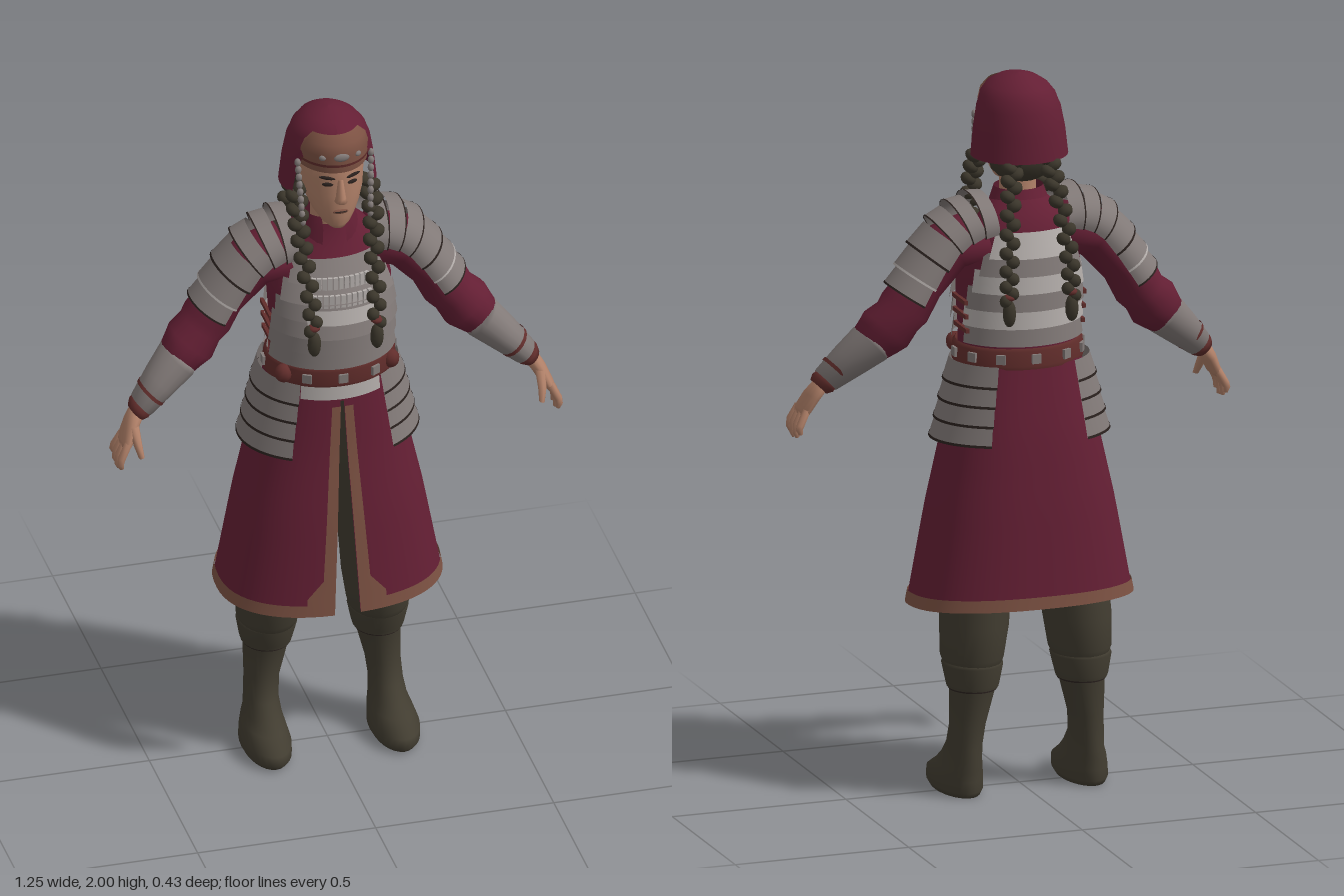
import * as THREE from 'three';
import { mergeGeometries } from 'three/addons/utils/BufferGeometryUtils.js';

const colour = (name, hex) => {
  const m = new THREE.MeshStandardMaterial({ color: hex, side: THREE.DoubleSide });
  m.name = name;
  return m;
};

// Surface through rows of points
function grid(rows, closed = true) {
  const n = rows[0].length, pos = [], idx = [];
  rows.forEach(r => r.forEach(p => pos.push(...p)));
  for (let j = 0; j < rows.length - 1; j++) {
    for (let i = 0; i < (closed ? n : n - 1); i++) {
      const a = j * n + i, b = j * n + (i + 1) % n;
      idx.push(a, b, b + n, a, b + n, a + n);
    }
  }
  const g = new THREE.BufferGeometry();
  g.setAttribute('position', new THREE.Float32BufferAttribute(pos, 3));
  g.setIndex(idx);
  g.computeVertexNormals();
  return g;
}

function capRows(rows) {
  const mid = r => r.map(() => [0, 1, 2].map(k => r.reduce((s, p) => s + p[k], 0) / r.length));
  return [mid(rows[0]), ...rows, mid(rows[rows.length - 1])];
}

// Stacked ellipses, rising: [y, rx, rz, cx, cz, startAngle, endAngle]; angle 0 faces the front
function rings(table, { n = 28, p = 1, cap = false, tilt = 0 } = {}) {
  const open = table[0][5] !== undefined;
  const pw = v => Math.sign(v) * Math.abs(v) ** p;
  const rows = table.map(([y, rx, rz, cx, cz, a0 = 0, a1 = Math.PI * 2]) =>
    Array.from({ length: n }, (_, i) => {
      const a = a0 + (a1 - a0) * i / (open ? n - 1 : n), z = cz + rz * pw(Math.cos(a));
      return [cx + rx * pw(Math.sin(a)), y - tilt * z, z];
    }));
  return grid(cap ? capRows(rows) : rows, !open);
}

// Limb along a path: [x, y, z, radius in the xy plane, radius in z]
function limb(path, { n = 16, arc = 0, cap = true } = {}) {
  const rows = path.map(([x, y, z, ru, rv], k) => {
    const a = path[Math.max(k - 1, 0)], b = path[Math.min(k + 1, path.length - 1)];
    const l = Math.hypot(b[0] - a[0], b[1] - a[1]), ux = (a[1] - b[1]) / l, uy = (b[0] - a[0]) / l;
    return Array.from({ length: n }, (_, i) => {
      const t = arc ? -arc + 2 * arc * i / (n - 1) : Math.PI * 2 * i / n;
      return [x + ux * ru * Math.cos(t), y + uy * ru * Math.cos(t), z + rv * Math.sin(t)];
    });
  });
  return grid(cap && !arc ? capRows(rows) : rows, !arc);
}

// Row of a profile table at height y
function at(table, y) {
  let k = 0;
  while (k < table.length - 2 && y > table[k + 1][0]) k++;
  const t = (y - table[k][0]) / (table[k + 1][0] - table[k][0]);
  return table[k].map((v, i) => v + (table[k + 1][i] - v) * t);
}

const blob = (x, y, z, sx, sy, sz, ry = 0, rz = 0) =>
  new THREE.SphereGeometry(1, 10, 8).scale(sx, sy, sz).rotateZ(rz).rotateY(ry).translate(x, y, z);
const box = (x, y, z, w, h, d, ry = 0) => new THREE.BoxGeometry(w, h, d).rotateY(ry).translate(x, y, z);

const TORSO = [[1.15, .178, .142, 0, .01], [1.2, .17, .135, 0, .015], [1.27, .162, .138, 0, .02],
  [1.38, .168, .15, 0, .022], [1.47, .172, .143, 0, .01], [1.56, .155, .115, 0, -.012],
  [1.62, .115, .088, 0, -.015], [1.66, .07, .065, 0, 0]];
// last column: half width of the front slit
const SKIRT = [[.53, .31, .21, 0, 0, .036], [.8, .26, .188, 0, 0, .022], [1, .215, .165, 0, 0, .012],
  [1.2, .172, .14, 0, .012, .003]];

export function createModel() {
  const model = new THREE.Group();
  model.name = 'armouredWarrior';
  const red = colour('wine cloth', 0x641f34), steel = colour('steel', 0x827a78),
    light = colour('bright steel', 0xb4aeab), skin = colour('skin', 0xb08068),
    leather = colour('brown leather', 0x7d5243), belt = colour('belt leather', 0x612d2b),
    olive = colour('olive boot', 0x423d31), hair = colour('dark hair', 0x3b362b),
    dark = colour('dark line', 0x2a211e);
  const add = (name, geo, mat) => {
    const m = new THREE.Mesh(geo, mat);
    m.name = name;
    model.add(m);
  };
  const both = (name, geo, mat) => {
    const g = geo.clone().scale(-1, 1, 1), ix = g.index.array;
    for (let i = 0; i < ix.length; i += 3) [ix[i], ix[i + 1]] = [ix[i + 1], ix[i]];
    add(name + 'Left', geo, mat);
    add(name + 'Right', g, mat);
  };

  // Legs and boots
  both('trouserLeg', rings([[.35, .07, .085, .155, -.055], [.39, .085, .1, .155, -.05], [.48, .092, .115, .148, -.048],
    [.7, .095, .115, .13, -.03], [1.1, .085, .11, .085, 0]], { cap: true }), olive);
  both('boot', rings([[0, .058, .122, .18, .015], [.015, .066, .134, .18, .018], [.045, .066, .132, .18, .018],
    [.075, .058, .105, .178, -.01], [.1, .05, .09, .176, -.026], [.14, .046, .07, .175, -.045], [.2, .048, .059, .17, -.057],
    [.3, .062, .07, .158, -.06], [.37, .077, .088, .156, -.055]], { cap: true }), olive);
  both('bootCuff', rings([[.305, .069, .078, .157, -.06], [.315, .072, .081, .157, -.06], [.37, .083, .096, .156, -.055],
    [.378, .078, .09, .156, -.055]]), olive);
  both('bootSeam', rings([[.3, .066, .074, .157, -.06], [.307, .067, .075, .157, -.06]]), dark);

  // Coat skirt, slit at the front, with leather edging
  const p = .85, ang = (x, rx) => Math.asin(Math.min(1, x / rx) ** (1 / p));
  const cloth = (ys, off, width) => rings(ys.map(y => {
    const [, rx, rz, cx, cz, gap] = at(SKIRT, y), a = ang(gap, rx);
    return [y, rx + off, rz + off, cx, cz, a, width ? ang(gap + width(y), rx) : Math.PI * 2 - a];
  }), { n: width ? 8 : 64, p, tilt: .08 });
  const span = (a, b, k) => Array.from({ length: k + 1 }, (_, i) => a + (b - a) * i / k);
  add('coatSkirt', cloth(span(.53, 1.2, 12), 0), red);
  add('hemTrim', cloth([.528, .562], .004), leather);
  both('slitTrim', cloth(span(.53, 1.15, 12), .005, y => y < .62 ? .075 : .034 - .02 * (y - .62)), leather);

  // Tunic body and collar
  add('tunic', rings(span(1.15, 1.66, 16).map(y => at(TORSO, y)), { n: 36 }), red);
  add('collar', rings([[1.6, .1, .088, 0, -.005, .35, 5.93], [1.65, .08, .075, 0, .005, .4, 5.88],
    [1.685, .068, .062, 0, .008, .5, 5.78]]), red);

  // Breast and back plates in overlapping bands
  const band = (y0, y1, a0, a1, off, flare = .01) => rings([[y0, flare], [y1, 0]].map(([y, f]) => {
    const [, rx, rz, cx, cz] = at(TORSO, y);
    return [y, rx + off + f, rz + off + f, cx, cz, a0, a1];
  }), { n: 32 });
  [[1.265, 1.32, 1.4], [1.315, 1.37, 1.4], [1.365, 1.42, 1.3], [1.415, 1.47, 1.15], [1.465, 1.52, 1], [1.515, 1.575, .85]]
    .forEach(([y0, y1, a], i) => {
      add('breastBand' + i, band(y0, y1, -a, a, .008), steel);
      add('backBand' + i, band(y0, y1 + .01, Math.PI - a * .9, Math.PI + a * .9, .008), i % 2 ? light : steel);
    });
  add('brightBreastBand', band(1.41, 1.452, -.55, .55, .02, .002), light);
  const scales = [];
  for (let r = 0; r < 2; r++) for (let i = -5; i <= 5; i++) {
    const y = 1.475 + r * .042, [, rx, rz, , cz] = at(TORSO, y), a = i * .085;
    scales.push(box((rx + .016) * Math.sin(a), y, cz + (rz + .016) * Math.cos(a), .012, .038, .008, a));
  }
  add('breastScales', mergeGeometries(scales), light);
  both('sideLacing', mergeGeometries([1.3, 1.34, 1.38].map(y =>
    box(at(TORSO, y)[1] + .003, y, .0, .01, .012, .1))), belt);

  // Belt, plate and studs
  add('belt', rings([[1.2, .181, .148, 0, .013], [1.21, .184, .151, 0, .014], [1.25, .18, .15, 0, .016], [1.258, .172, .145, 0, .017]]), belt);
  add('waistPlate', rings([[1.163, .185, .155, 0, .01, -.65, .65], [1.203, .181, .15, 0, .013, -.65, .65]]), light);
  const studs = [-2.6, -2.1, -1.6, -1, -.55, 0, .55, 1, 1.6, 2.1, 2.6, Math.PI];
  add('beltStuds', mergeGeometries(studs.map(a =>
    box(.183 * Math.sin(a), 1.23, .015 + .152 * Math.cos(a), .026, .026, .009, a))), steel);
  both('beltPouch', blob(.15, 1.232, .1, .025, .027, .025), belt);

  // Hip armour
  for (let i = 0; i < 4; i++) {
    const y = .995 + i * .053, r = .243 - i * .013;
    both('hipPlate' + i, rings([[y, r + .008, .195 - i * .006, 0, 0, .6, 2.56], [y + .058, r - .011, .187 - i * .006, 0, 0, .62, 2.54]],
      { tilt: .03 }), steel);
    both('hipPlateEdge' + i, rings([[y - .003, r + .01, .197 - i * .006, 0, 0, .6, 2.56], [y + .004, r + .008, .196 - i * .006, 0, 0, .6, 2.56]],
      { tilt: .03 }), dark);
  }

  // Sleeves, bracers and hands
  both('sleeve', limb([[.12, 1.56, -.01, .07, .095], [.21, 1.535, -.01, .07, .088], [.29, 1.44, -.015, .062, .075],
    [.335, 1.375, -.012, .072, .074], [.355, 1.35, -.01, .066, .07], [.385, 1.315, 0, .076, .075], [.405, 1.295, .005, .068, .068],
    [.45, 1.25, .02, .05, .058]]), red);
  both('bracer', limb([[.415, 1.285, .01, .055, .066], [.425, 1.275, .014, .061, .07], [.48, 1.225, .035, .051, .058],
    [.538, 1.17, .058, .038, .044]]), steel);
  both('bracerStrap', limb([[.505, 1.203, .046, .047, .053], [.512, 1.196, .049, .046, .052]], { cap: false }), belt);
  both('cuff', limb([[.53, 1.178, .055, .034, .04], [.545, 1.163, .06, .036, .042], [.556, 1.152, .064, .028, .034]]), belt);
  both('palm', limb([[.548, 1.162, .06, .022, .028], [.572, 1.125, .075, .02, .04], [.592, 1.085, .09, .017, .045], [.598, 1.072, .092, .011, .042]]), skin);
  for (let i = 0; i < 4; i++) {
    const z = i * .027 + .05, drop = [.018, .004, 0, .01][i];
    both('finger' + i, limb([[.592, 1.09, .057 + i * .022, .011, .012], [.613, 1.05, z, .011, .012],
      [.616, 1.022 + drop, z - .001, .01, .01], [.612, 1.008 + drop, z - .002, .006, .006]], { n: 8 }), skin);
  }
  both('thumb', limb([[.57, 1.13, .1, .014, .016], [.568, 1.09, .132, .012, .014], [.562, 1.058, .15, .008, .009]], { n: 8 }), skin);

  // Shoulder armour
  const shoulder = new THREE.CatmullRomCurve3([[.1, 1.605], [.16, 1.595], [.215, 1.56], [.275, 1.48], [.325, 1.405]]
    .map(([x, y]) => new THREE.Vector3(x, y, -.01)));
  for (let i = 0; i < 6; i++) {
    const t = i / 6, a = shoulder.getPoint(t), b = shoulder.getPoint(Math.min(1, t + .18));
    const ru = .076 - t * .014, rv = .112 - t * .03;
    const rows = [[a.x, a.y, a.z, ru, rv], [b.x, b.y, b.z, ru + .007, rv + .006]];
    both('shoulderPlate' + i, limb(rows, { n: 24, arc: 1.85 }), steel);
    const e = rows.map((r, k) => [...b.clone().lerp(a, k ? -.04 : .05).toArray(), ru + .008, rv + .007]);
    both('shoulderPlateEdge' + i, limb(e, { n: 24, arc: 1.85 }), i === 4 ? light : dark);
  }

  // Neck, head and face
  add('neck', rings([[1.58, .065, .06, 0, .01], [1.64, .05, .052, 0, .012], [1.74, .05, .055, 0, .015]]), skin);
  add('head', rings([[1.682, .022, .026, 0, .1], [1.695, .04, .05, 0, .082], [1.72, .058, .072, 0, .065], [1.75, .072, .086, 0, .053],
    [1.79, .084, .1, 0, .04], [1.84, .089, .108, 0, .03], [1.9, .09, .11, 0, .025], [1.96, .06, .08, 0, .02]], { cap: true }), skin);
  add('nose', rings([[1.768, .008, .008, 0, .136], [1.776, .018, .025, 0, .138], [1.79, .014, .021, 0, .139], [1.84, .008, .01, 0, .133]],
    { n: 12, cap: true }), skin);
  both('eye', blob(.035, 1.828, .131, .016, .006, .004, .35), dark);
  both('brow', blob(.037, 1.85, .133, .023, .005, .004, .35, .12), dark);
  add('lips', blob(0, 1.742, .138, .022, .007, .006), leather);
  add('mouthLine', blob(0, 1.743, .142, .018, .0015, .004), dark);

  // Hood and browband
  add('hood', rings([[1.775, .134, .124, 0, 0, 1.05, 5.233], [1.85, .125, .125, 0, .002, 1, 5.283], [1.91, .114, .12, 0, .006, .85, 5.433],
    [1.945, .101, .115, 0, .012, .4, 5.883], [1.968, .083, .1, 0, .014, 0, 6.2832], [1.987, .055, .067, 0, .012, 0, 6.2832],
    [1.997, .025, .03, 0, .008, 0, 6.2832], [2, .0005, .0005, 0, .006, 0, 6.2832]], { n: 40 }), red);
  add('browband', rings([[1.868, .1, .12, 0, .025, -1.2, 1.2], [1.92, .102, .124, 0, .025, -1.2, 1.2], [1.95, .096, .115, 0, .024, -1.1, 1.1],
    [1.972, .08, .095, 0, .02, -.9, .9]]), leather);
  add('browbandStripe', rings([[1.888, .104, .125, 0, .025, -1.2, 1.2], [1.896, .104, .126, 0, .025, -1.2, 1.2]]), belt);
  add('browGem', blob(0, 1.918, .149, .022, .012, .006), steel);
  both('browStud', blob(.05, 1.915, .133, .01, .008, .006, .5), steel);
  const beads = Array.from({ length: 9 }, (_, i) => blob(.103 - i * .001, 1.875 - i * .022, .072 + i * .003, .009, .012, .009));
  both('templePendant', mergeGeometries(beads), steel);

  // Hair and plaits
  add('napeHair', blob(0, 1.775, -.03, .1, .07, .075), hair);
  const plait = (name, pts) => {
    const c = new THREE.CatmullRomCurve3(pts.map(q => new THREE.Vector3(...q))), lumps = [];
    for (let i = 0; i < 18; i++) {
      const q = c.getPoint(i / 18), s = i % 2 ? 1 : -1, w = 1 - i / 60;
      lumps.push(blob(q.x + s * .01, q.y, q.z, .024 * w, .018, .025 * w, 0, s * .5));
    }
    both(name, mergeGeometries(lumps), hair);
    const e = c.getPoint(.95), f = c.getPoint(1);
    both(name + 'Tie', blob(e.x, e.y + .012, e.z, .018, .01, .018), belt);
    both(name + 'Tip', blob(f.x, f.y - .015, f.z, .019, .038, .018), hair);
  };
  plait('frontPlait', [[.1, 1.78, .05], [.105, 1.7, .085], [.098, 1.6, .12], [.092, 1.49, .168], [.088, 1.38, .19]]);
  plait('backPlait', [[.05, 1.78, -.09], [.065, 1.7, -.115], [.08, 1.59, -.148], [.088, 1.48, -.165], [.09, 1.39, -.17]]);

  return model;
}
